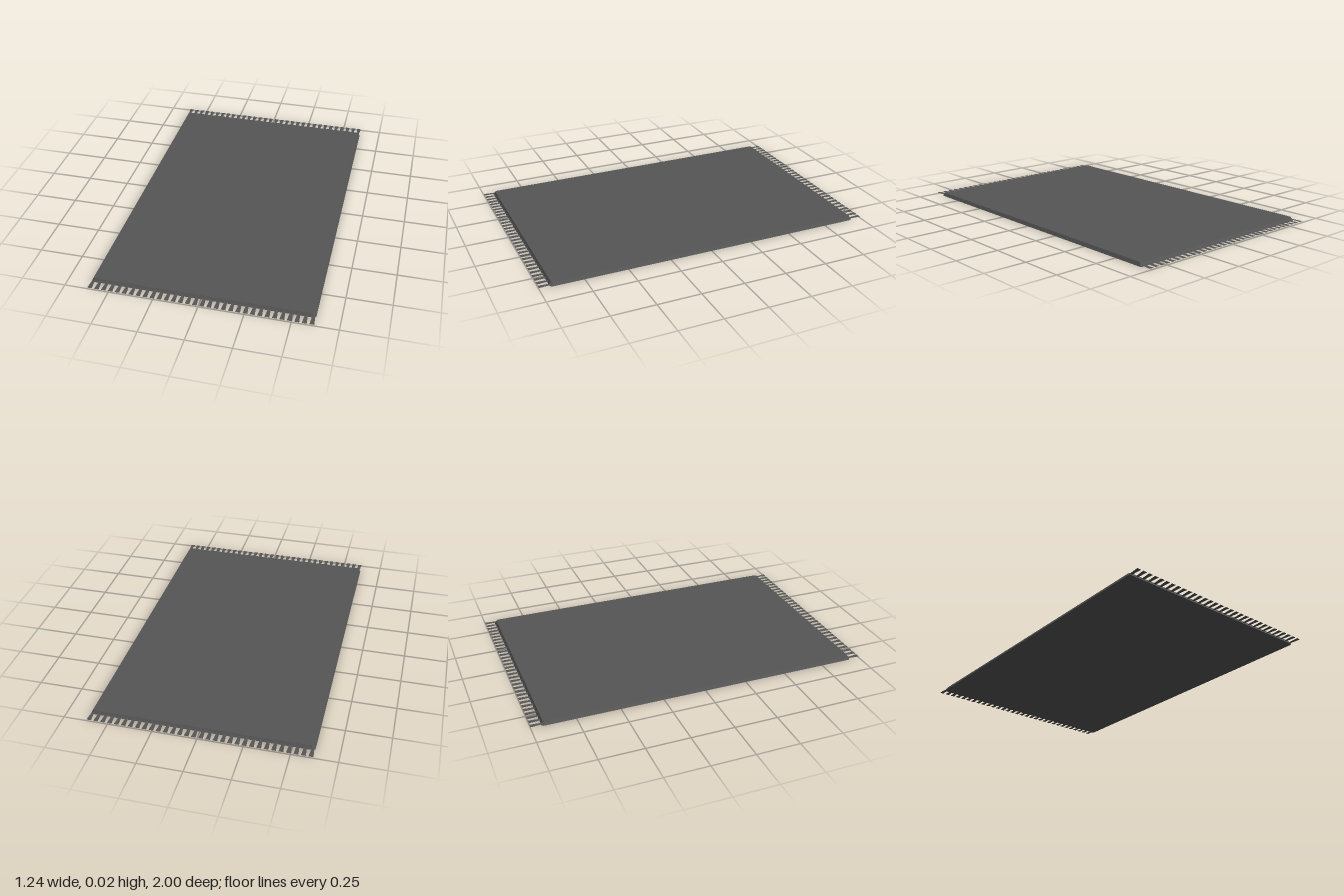
import * as THREE from 'three';

const HALF_X = 0.62, HALF_Z = 0.94, HEIGHT = 0.02, BEVEL = 0.01, CORNER = 0.01;
const TASSELS = 32, TASSEL_Y = 0.008;

// Rectangle with small clipped corners
function rugOutline() {
  const s = new THREE.Shape();
  const a = HALF_X, b = HALF_Z, c = CORNER;
  s.moveTo(-a + c, -b);
  s.lineTo(a - c, -b);
  s.lineTo(a, -b + c);
  s.lineTo(a, b - c);
  s.lineTo(a - c, b);
  s.lineTo(-a + c, b);
  s.lineTo(-a, b - c);
  s.lineTo(-a, -b + c);
  s.closePath();
  return s;
}

// Slab whose upper face is drawn in to slope the sides
function rugGeometry() {
  const g = new THREE.ExtrudeGeometry(rugOutline(), { depth: HEIGHT, bevelEnabled: false });
  g.rotateX(-Math.PI / 2);
  const p = g.attributes.position;
  for (let i = 0; i < p.count; i++) {
    if (p.getY(i) < HEIGHT / 2) continue;
    p.setX(i, p.getX(i) * (HALF_X - BEVEL) / HALF_X);
    p.setZ(i, p.getZ(i) * (HALF_Z - BEVEL) / HALF_Z);
  }
  g.computeVertexNormals();
  return g;
}

// Flat tassel, narrow at the rug and flared at its tip
function tasselGeometry() {
  const s = new THREE.Shape();
  s.moveTo(-0.007, 0.93);
  s.lineTo(0.007, 0.93);
  s.lineTo(0.013, 1);
  s.lineTo(-0.013, 1);
  s.closePath();
  const g = new THREE.ShapeGeometry(s);
  g.rotateX(-Math.PI / 2);
  return g;
}

export function createModel() {
  const model = new THREE.Group();
  model.name = 'rug';
  const cloth = new THREE.MeshStandardMaterial({ color: 0x555555 });
  const thread = new THREE.MeshStandardMaterial({ color: 0x555555, side: THREE.DoubleSide });

  const body = new THREE.Mesh(rugGeometry(), cloth);
  body.name = 'rugBody';
  model.add(body);

  // A row of tassels at each end
  const tassel = tasselGeometry();
  for (const [name, turn] of [['backFringe', 0], ['frontFringe', Math.PI]]) {
    const fringe = new THREE.Group();
    fringe.name = name;
    for (let i = 0; i < TASSELS; i++) {
      const m = new THREE.Mesh(tassel, thread);
      m.name = 'tassel';
      m.position.set(-0.607 + (1.214 * i) / (TASSELS - 1), TASSEL_Y, 0);
      fringe.add(m);
    }
    fringe.rotation.y = turn;
    model.add(fringe);
  }
  return model;
}
